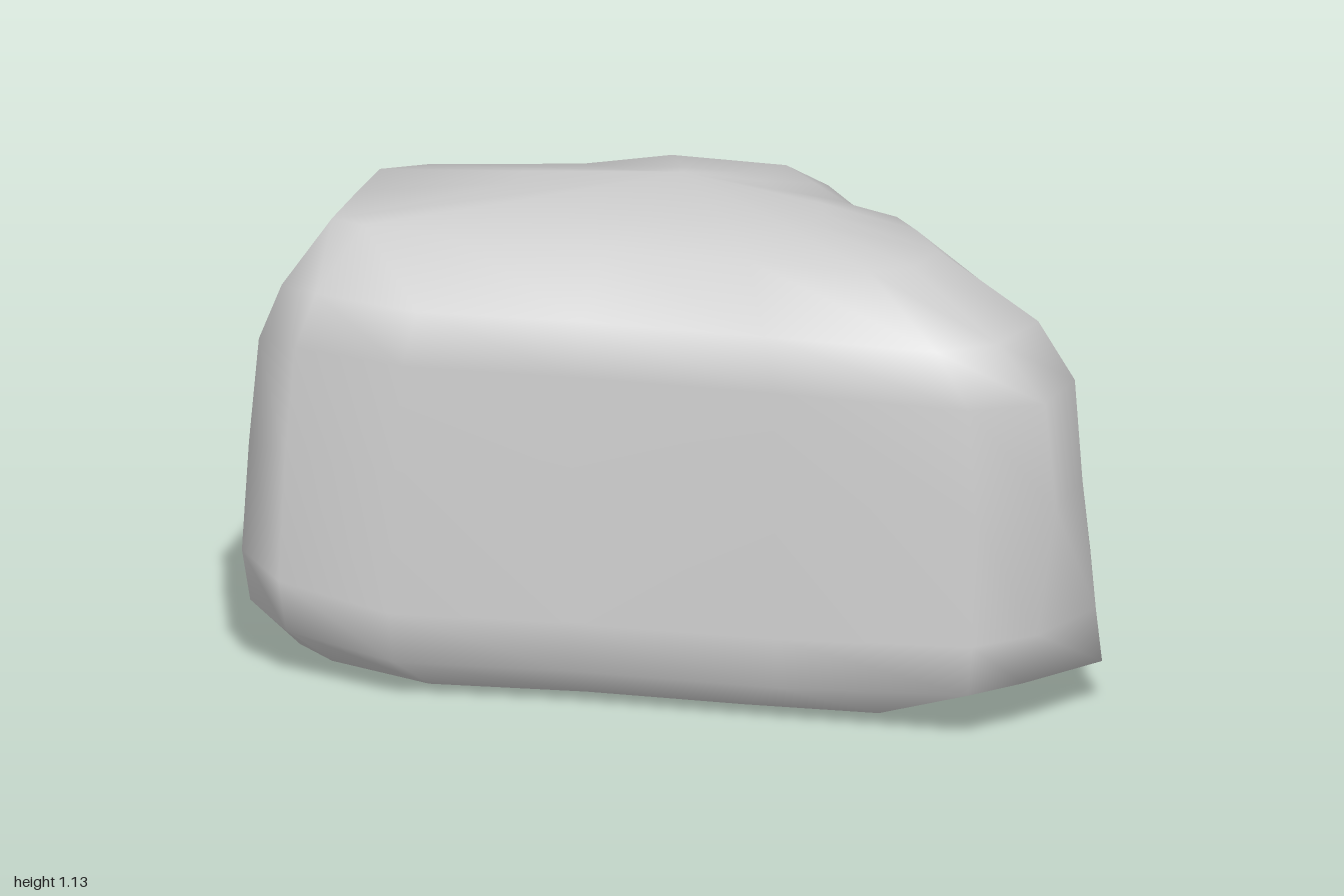
import * as THREE from 'three';

// Plan outline of the boulder, clockwise seen from above: x, z, then the point's share of
// its ring's lean (rear left shoulder), lift (underside) and bulge (front left corner)
const OUTLINE = [
  [-0.21, -0.68, 0, 0, 0], [0.17, -0.68, 0, 1, 0], [0.34, -0.46, 0.1, 0.6, 0],
  [0.47, -0.25, 0.3, 0.2, 0], [0.84, -0.08, 1, 1, 0], [0.93, 0.08, 0.8, 0.6, 0],
  [1, 0.31, 0, 0, 0], [0.94, 0.52, 0, 0.3, 1], [0.79, 0.63, 0, 0.4, 0.4],
  [0.3, 0.63, 0, 0, 0], [-0.2, 0.64, 0, 0, 0], [-0.62, 0.68, 0, 0, 0],
  [-0.9, 0.61, 0, 0.4, 0], [-1, 0.56, 0, 1.2, 0], [-0.985, 0.22, 0, 0.1, 0],
  [-0.97, -0.1, 0, 0, 0], [-0.85, -0.23, 0, -0.2, 0], [-0.43, -0.44, 0, -0.5, 0],
];

// Cross-sections: x min, x max, z back, z front, y at back, y at front, lean, lift, bulge
const RINGS = [
  [-0.6, 0.4, -0.05, 0.48, 0.01, 0.005, 0, 0, 0],
  [-0.88, 0.66, -0.4, 0.585, 0.08, 0.015, 0.04, 0.02, 0],
  [-0.98, 1.0, -0.65, 0.68, 0.14, 0.1, 0.07, 0.06, -0.08],
  [-1.0, 0.985, -0.68, 0.68, 0.3, 0.22, 0, 0.06, -0.03],
  [-0.99, 0.95, -0.66, 0.645, 0.54, 0.56, 0.03, 0, 0.04],
  [-0.97, 0.93, -0.64, 0.625, 0.75, 0.82, 0.12, 0, 0.03],
  [-0.92, 0.84, -0.52, 0.6, 0.9, 0.95, 0.13, 0, 0],
  [-0.83, 0.59, -0.28, 0.44, 1.04, 1.075, 0.06, 0, 0],
  [-0.46, 0.3, -0.08, 0.29, 1.095, 1.115, 0, 0, 0],
];
const MID_Z = 0.1;

// Fit the outline into one ring's bounds, tilting it from back to front
function ringPoint([x0, x1, z0, z1, yBack, yFront, lean, lift, bulge], [px, pz, leanShare, liftShare, bulgeShare]) {
  const x = (px < 0 ? -px * x0 : px * x1) - lean * leanShare + bulge * bulgeShare;
  const d = pz - MID_Z;
  const z = MID_Z + (d < 0 ? (d / (-0.68 - MID_Z)) * (z0 - MID_Z) : (d / (0.68 - MID_Z)) * (z1 - MID_Z));
  const t = (pz + 0.68) / 1.36;
  return [x, yBack + (yFront - yBack) * t + lift * liftShare, z];
}

function boulderGeometry() {
  const n = OUTLINE.length;
  const positions = RINGS.flatMap((ring) => OUTLINE.flatMap((p) => ringPoint(ring, p)));
  const bottom = RINGS.length * n;
  const top = bottom + 1;
  positions.push(-0.1, 0, 0.2, -0.07, 1.135, 0.05);

  const index = [];
  for (let i = 0; i < n; i++) {
    const j = (i + 1) % n;
    for (let r = 0; r < RINGS.length - 1; r++) {
      const a = r * n + i, b = r * n + j;
      index.push(a, a + n, b + n, a, b + n, b);
    }
    const last = (RINGS.length - 1) * n;
    index.push(bottom, i, j, top, last + j, last + i);
  }
  const geometry = new THREE.BufferGeometry();
  geometry.setAttribute('position', new THREE.Float32BufferAttribute(positions, 3));
  geometry.setIndex(index);
  geometry.computeVertexNormals();
  return geometry;
}

export function createModel() {
  const group = new THREE.Group();
  group.name = 'rock';
  const boulder = new THREE.Mesh(boulderGeometry(), new THREE.MeshStandardMaterial({ color: 0xcccccc }));
  boulder.name = 'boulder';
  group.add(boulder);
  return group;
}
